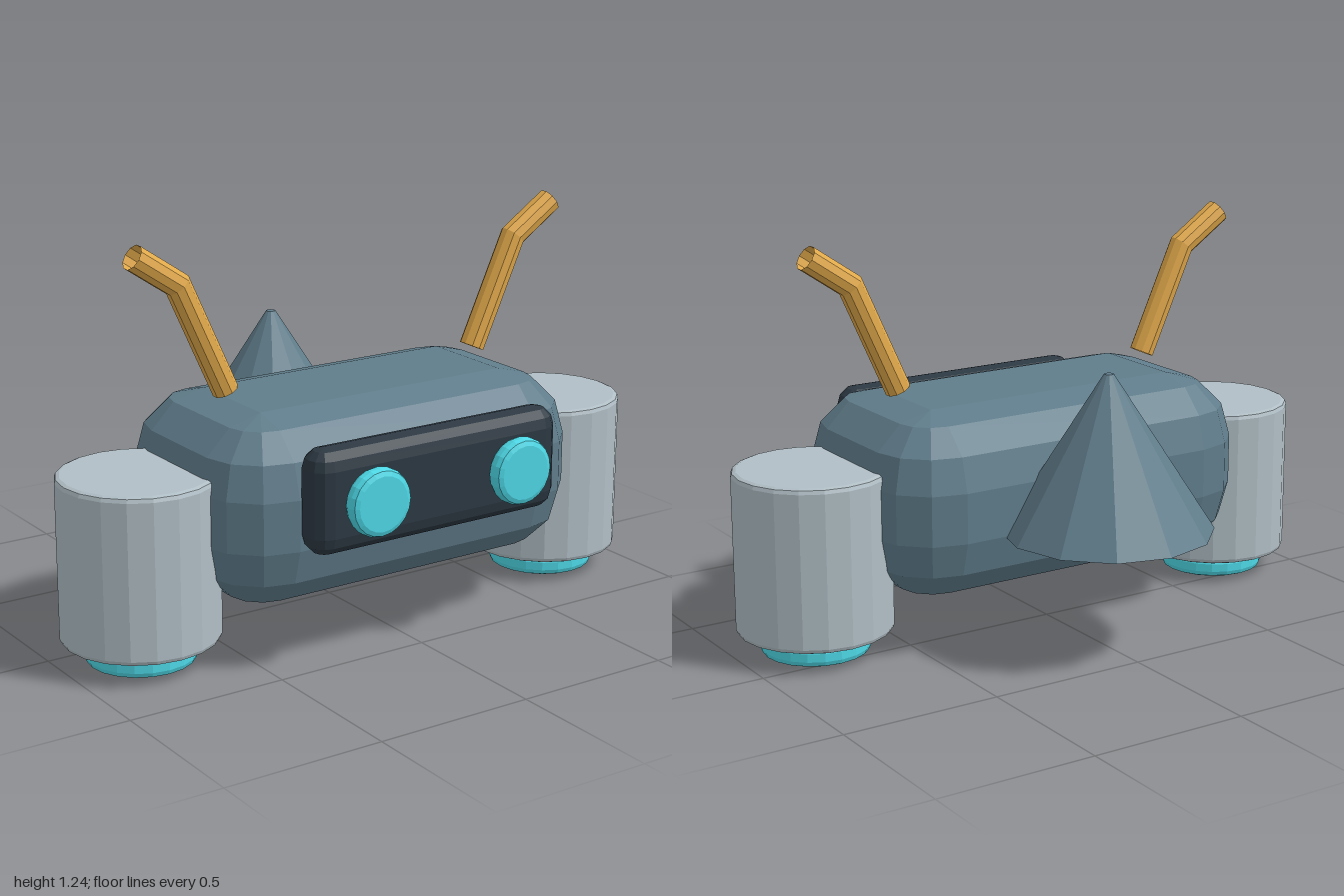
import * as THREE from 'three';
import { ConvexGeometry } from 'three/addons/geometries/ConvexGeometry.js';

const paint = (color, side = THREE.FrontSide) =>
  new THREE.MeshStandardMaterial({ color, flatShading: true, side });

const SLATE = paint(0x607d8b);
const DARK = paint(0x2c3842);
const PALE = paint(0xb0bec5);
const CYAN = paint(0x4dd8e6);
const GOLD = paint(0xe0a84a, THREE.DoubleSide);

// Box with faceted round edges: the hull of eight sphere octants
function bevelBox(w, h, d, r, steps = 3) {
  const points = [];
  for (const sx of [-1, 1]) for (const sy of [-1, 1]) for (const sz of [-1, 1]) {
    for (let i = 0; i <= steps; i++) {
      const lat = (i / steps) * Math.PI / 2;
      const last = i === steps ? 0 : steps;
      for (let j = 0; j <= last; j++) {
        const lon = (j / steps) * Math.PI / 2;
        points.push(new THREE.Vector3(
          sx * (w / 2 - r + r * Math.cos(lat) * Math.cos(lon)),
          sy * (h / 2 - r + r * Math.sin(lat)),
          sz * (d / 2 - r + r * Math.cos(lat) * Math.sin(lon))));
      }
    }
  }
  return new ConvexGeometry(points);
}

// Upright disc or drum with rounded rims, standing on y = 0
function bevelCylinder(radius, height, bevel, sides = 20) {
  const profile = [new THREE.Vector2(0, 0)];
  for (const top of [0, 1]) {
    for (let i = 0; i <= 2; i++) {
      const a = (top + i / 2 - 1) * Math.PI / 2;
      const cy = top ? height - bevel : bevel;
      profile.push(new THREE.Vector2(
        radius - bevel + bevel * Math.cos(a), cy + bevel * Math.sin(a)));
    }
  }
  profile.push(new THREE.Vector2(0, height));
  return new THREE.LatheGeometry(profile, sides);
}

// Open pipe with one mitred bend; each ring is placed on the path
function bentPipe(path, radius) {
  const geometry = new THREE.CylinderGeometry(1, 1, 2, 10, 2, true);
  const p = geometry.attributes.position;
  const dirs = [0, 1].map(i => path[i + 1].clone().sub(path[i]).normalize());
  const mid = dirs[0].clone().add(dirs[1]).normalize();
  const tangents = [dirs[0], mid, dirs[1]];
  const miter = [1, 1 / mid.dot(dirs[0]), 1];
  for (let i = 0; i < p.count; i++) {
    const ring = Math.round(p.getY(i) + 1);
    const c = path[ring], t = tangents[ring];
    const out = p.getX(i) * radius * miter[ring];
    p.setXYZ(i, c.x + t.y * out, c.y - t.x * out, p.getZ(i) * radius);
  }
  geometry.computeVertexNormals();
  return geometry;
}

export function createModel() {
  const group = new THREE.Group();
  const add = (name, geometry, material, x, y, z) => {
    const mesh = new THREE.Mesh(geometry, material);
    mesh.name = name;
    mesh.position.set(x, y, z);
    group.add(mesh);
    return mesh;
  };

  add('body', bevelBox(1.29, 0.575, 0.74, 0.21), SLATE, 0, 0.457, 0.13);
  add('visor', bevelBox(0.88, 0.32, 0.125, 0.06), DARK, 0, 0.535, 0.536);

  // Tail cone with a tiny blunt tip
  add('tailCone', new THREE.CylinderGeometry(0.015, 0.325, 0.485, 12), SLATE, 0, 0.617, -0.337);

  for (const [side, s] of [['left', 1], ['right', -1]]) {
    const eye = add(side + 'Eye', bevelCylinder(0.103, 0.055, 0.02), CYAN, s * 0.256, 0.535, 0.605);
    eye.rotation.x = Math.PI / 2;

    add(side + 'Leg', bevelCylinder(0.242, 0.51, 0.016), PALE, s * 0.757, 0.07, 0.13);
    add(side + 'Foot', bevelCylinder(0.169, 0.066, 0.02), CYAN, s * 0.757, 0, 0.13);

    const path = [[0.455, 0.777], [0.61, 1.115], [0.755, 1.213]]
      .map(([x, y]) => new THREE.Vector3(s * x, y, 0));
    add(side + 'Antenna', bentPipe(path, 0.04), GOLD, 0, 0, 0.13);
  }
  return group;
}
